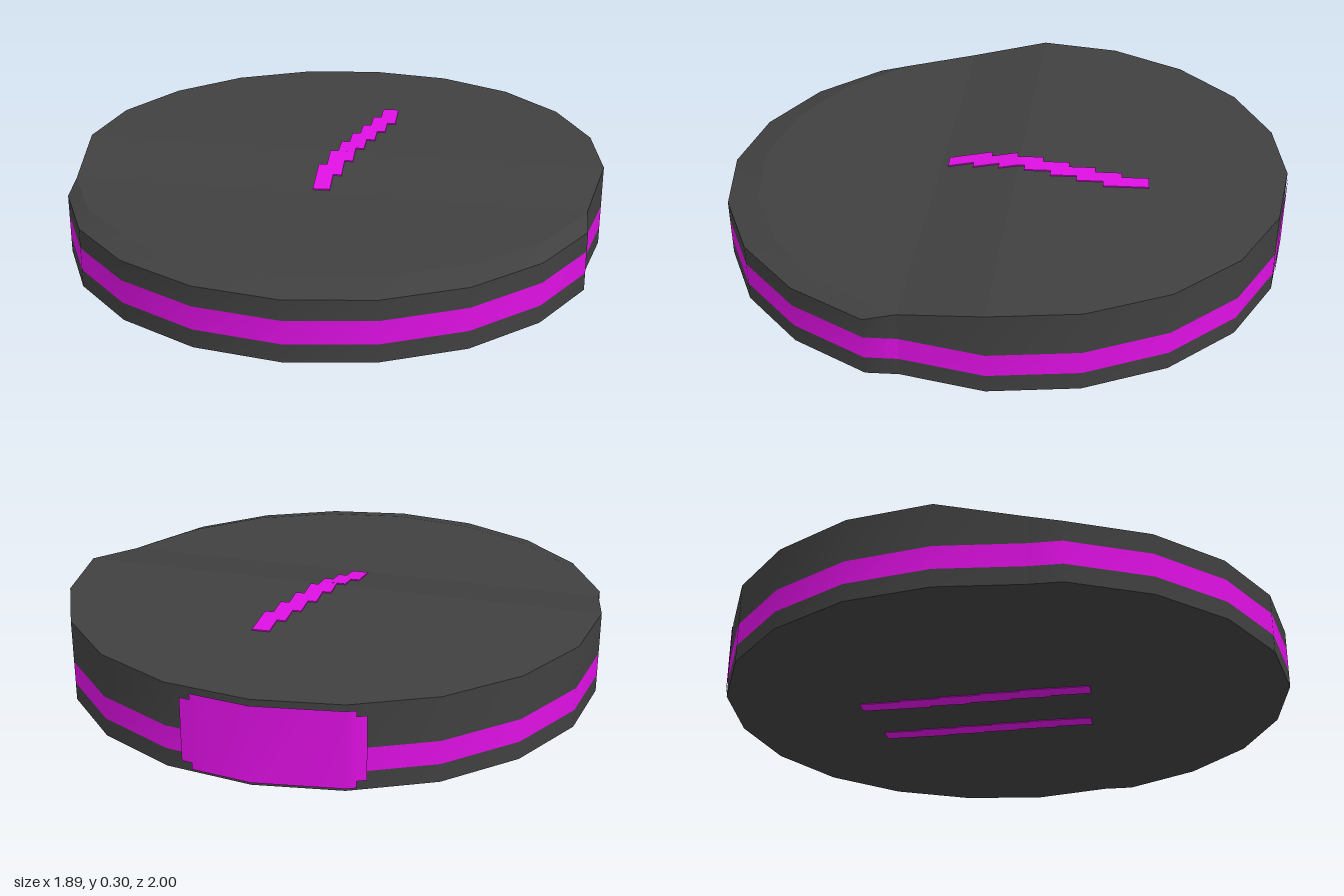
import * as THREE from 'three';

// Outline corners [x, z], clockwise seen from above
const back = [[-0.945, -0.1], [-0.89, -0.39], [-0.74, -0.65], [-0.52, -0.85], [-0.25, -0.97], [0.04, -1],
  [0.33, -0.945], [0.59, -0.8], [0.79, -0.575], [0.91, -0.3], [0.945, 0]];
const front = [[0.88, 0.39], [0.73, 0.645], [0.51, 0.845], [0.24, 0.965], [-0.05, 1], [-0.34, 0.94],
  [-0.6, 0.79], [-0.8, 0.57], [-0.92, 0.3]];
const inner = front.map(([x, z]) => [x, z - 0.11]);
const creaseR = inner[0], creaseL = inner[inner.length - 1];

// Heights
const BASE = 0.003, BAND_LOW = 0.065, BAND_HIGH = 0.145, BACK_TOP = 0.295, FRONT_TOP = 0.24, RIM = 0.215;

function surface(points, index) {
  const g = new THREE.BufferGeometry();
  g.setAttribute('position', new THREE.Float32BufferAttribute(points.flat(), 3));
  g.setIndex(index);
  g.computeVertexNormals();
  return g;
}

const at = (outline, y) => outline.map(([x, z]) => [x, y, z]);

// Strip of quads between a lower and an upper row
function strip(low, high) {
  const n = low.length, index = [];
  for (let i = 0; i < n - 1; i++) index.push(i, n + i, i + 1, i + 1, n + i, n + i + 1);
  return surface([...low, ...high], index);
}

// Flat polygon as a fan from its first corner, facing up or down
function fan(points, up) {
  const index = [];
  for (let i = 1; i < points.length - 1; i++) index.push(0, up ? i + 1 : i, up ? i : i + 1);
  return surface(points, index);
}

// Height of the top surface
function topHeight(x, z) {
  const z0 = -0.05 + 0.053 * x, z1 = 0.235 + 0.056 * x;
  return THREE.MathUtils.lerp(BACK_TOP, FRONT_TOP, THREE.MathUtils.clamp((z - z0) / (z1 - z0), 0, 1));
}

export function createModel() {
  const group = new THREE.Group();
  const dark = new THREE.MeshStandardMaterial({ color: 0x404040 });
  dark.name = 'charcoal';
  const magenta = new THREE.MeshStandardMaterial({ color: 0xdd10e2 });
  magenta.name = 'magenta';
  const add = (name, geometry, material) => {
    const mesh = new THREE.Mesh(geometry, material);
    mesh.name = name;
    group.add(mesh);
  };

  // Side walls: lower wall, coloured band, upper wall for each half
  const backPath = [creaseL, ...back, creaseR];
  const backTop = [...at([creaseL], FRONT_TOP), ...at(back, BACK_TOP), ...at([creaseR], FRONT_TOP)];
  const frontPath = [creaseR, ...front, creaseL];
  const frontTop = [...at([creaseR], FRONT_TOP), ...at(front, RIM), ...at([creaseL], FRONT_TOP)];
  for (const [side, path, top] of [['back', backPath, backTop], ['front', frontPath, frontTop]]) {
    add(side + 'LowerWall', strip(at(path, BASE), at(path, BAND_LOW)), dark);
    add(side + 'Band', strip(at(path, BAND_LOW), at(path, BAND_HIGH)), magenta);
    add(side + 'UpperWall', strip(at(path, BAND_HIGH), top), dark);
  }

  // Top faces: raised back, slope, lower front and its bevelled rim
  add('raisedTop', fan(at(back, BACK_TOP), true), dark);
  add('topSlope', fan([...at([back[0], back[back.length - 1]], BACK_TOP),
    ...at([creaseR, creaseL], FRONT_TOP)], true), dark);
  add('lowerTop', fan(at(inner, FRONT_TOP), true), dark);
  add('frontBevel', strip(at(front, RIM), at(inner, FRONT_TOP)), dark);

  // Underside
  const loop = [...back, ...frontPath];
  add('underside', fan([[0, BASE, 0], ...at([...loop, loop[0]], BASE)], false), dark);

  // Painted panel on the back with stepped ends
  const out = (path) => path.map(([x, z]) => [x * 1.004, z * 1.004]);
  const panel = (name, path, y0, y1) => add(name, strip(at(out(path), y0), at(out(path), y1)), magenta);
  panel('backPanel', [[-0.28, -0.957], back[4], back[5], [0.24, -0.962]], 0.012, 0.275);
  panel('backPanelRightEnd', [[-0.31, -0.943], [-0.28, -0.957]], 0.035, 0.255);
  panel('backPanelLeftEnd', [[0.24, -0.962], [0.275, -0.955]], 0.035, 0.255);

  // Jagged streaks made of overlapping stepped dashes
  function streak(name, [xa, za], [xb, zb], steps, height) {
    const length = 1.7 * Math.abs(zb - za) / (steps + 0.7);
    const dir = Math.sign(zb - za);
    const first = za + dir * length / 2, last = zb - dir * length / 2;
    for (let i = 0; i < steps; i++) {
      const t = i / (steps - 1);
      const g = new THREE.BoxGeometry(0.06, 0.004, length, 1, 1, 8);
      g.translate(THREE.MathUtils.lerp(xa, xb, t), 0, THREE.MathUtils.lerp(first, last, t));
      const p = g.attributes.position;
      for (let k = 0; k < p.count; k++) p.setY(k, p.getY(k) + height(p.getX(k), p.getZ(k)));
      g.computeVertexNormals();
      add(name, g, magenta);
    }
  }
  streak('topStreak', [-0.035, 0.21], [0.145, -0.51], 7, (x, z) => topHeight(x, z) + 0.003);
  streak('undersideLeftStreak', [0.15, 0.29], [0.18, -0.49], 5, () => 0.002);
  streak('undersideRightStreak', [-0.13, 0.31], [-0.09, -0.52], 5, () => 0.002);

  return group;
}
